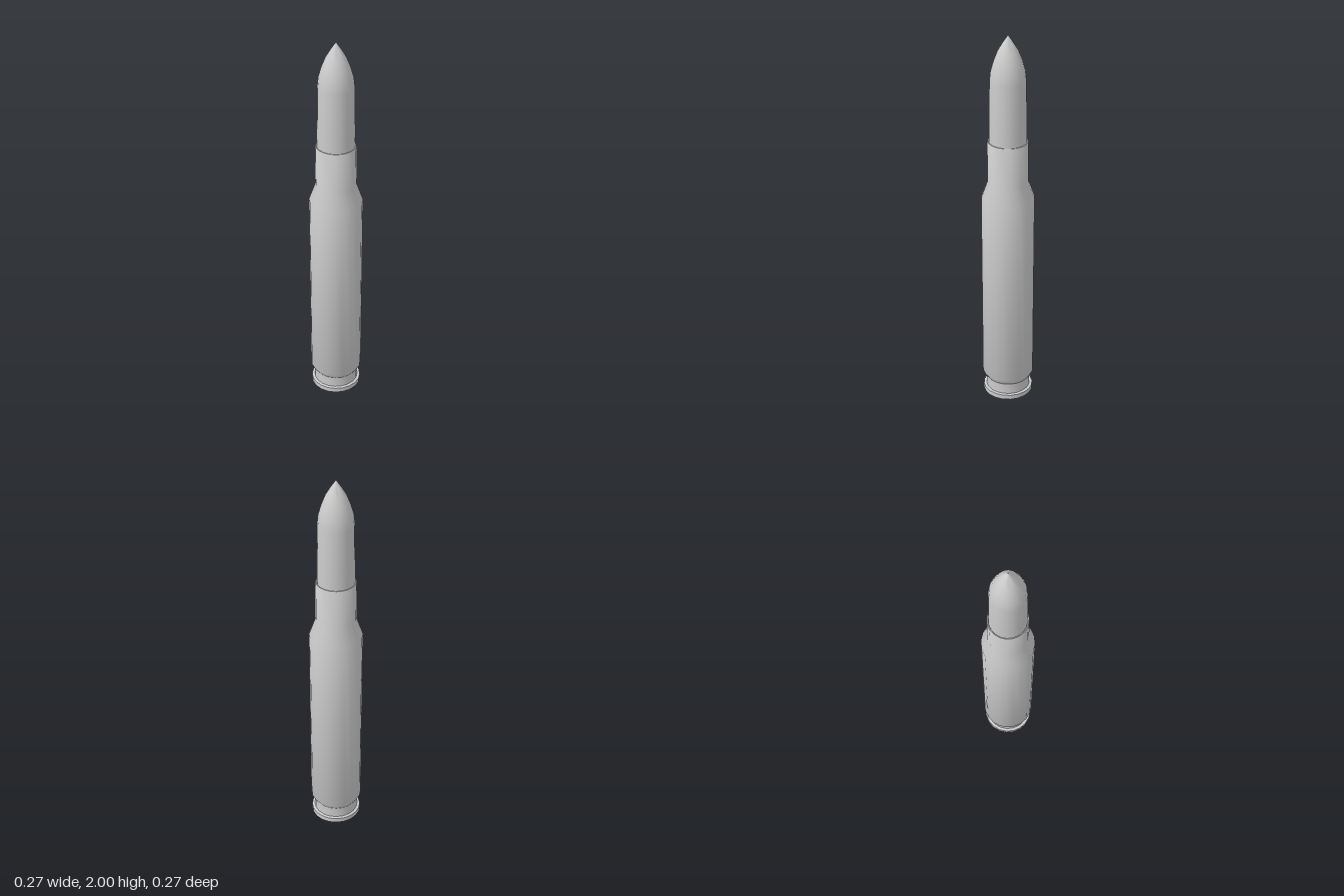
import * as THREE from 'three';
import { toCreasedNormals } from 'three/addons/utils/BufferGeometryUtils.js';

const SIDES = 20;

// Turns a [radius, height] profile, listed bottom to top, around the y axis
function turned(name, profile, material) {
  const points = profile.map(([r, y]) => new THREE.Vector2(r, y));
  const geometry = toCreasedNormals(new THREE.LatheGeometry(points, SIDES), 0.65);
  const mesh = new THREE.Mesh(geometry, material);
  mesh.name = name;
  return mesh;
}

export function createModel() {
  const group = new THREE.Group();
  group.name = 'cartridge';
  const grey = new THREE.MeshStandardMaterial({ color: 0xcccccc });

  // Case: base, rim, extractor groove, body, shoulder, neck and rounded lip
  group.add(turned('case', [
    [0, 0], [0.131, 0], [0.131, 0.026], [0.116, 0.028],
    [0.116, 0.088], [0.122, 0.095], [0.135, 0.118],
    [0.135, 1.15], [0.103, 1.24],
    [0.103, 1.45], [0.1, 1.457], [0.096, 1.457], [0.092, 1.448],
  ], grey));

  // Bullet: slightly tapered shank seated in the neck, then a pointed nose
  group.add(turned('bullet', [
    [0.094, 1.43], [0.094, 1.5], [0.09, 1.77], [0.085, 1.82],
    [0.07, 1.872], [0.051, 1.92], [0.026, 1.961], [0, 2],
  ], grey));

  return group;
}
